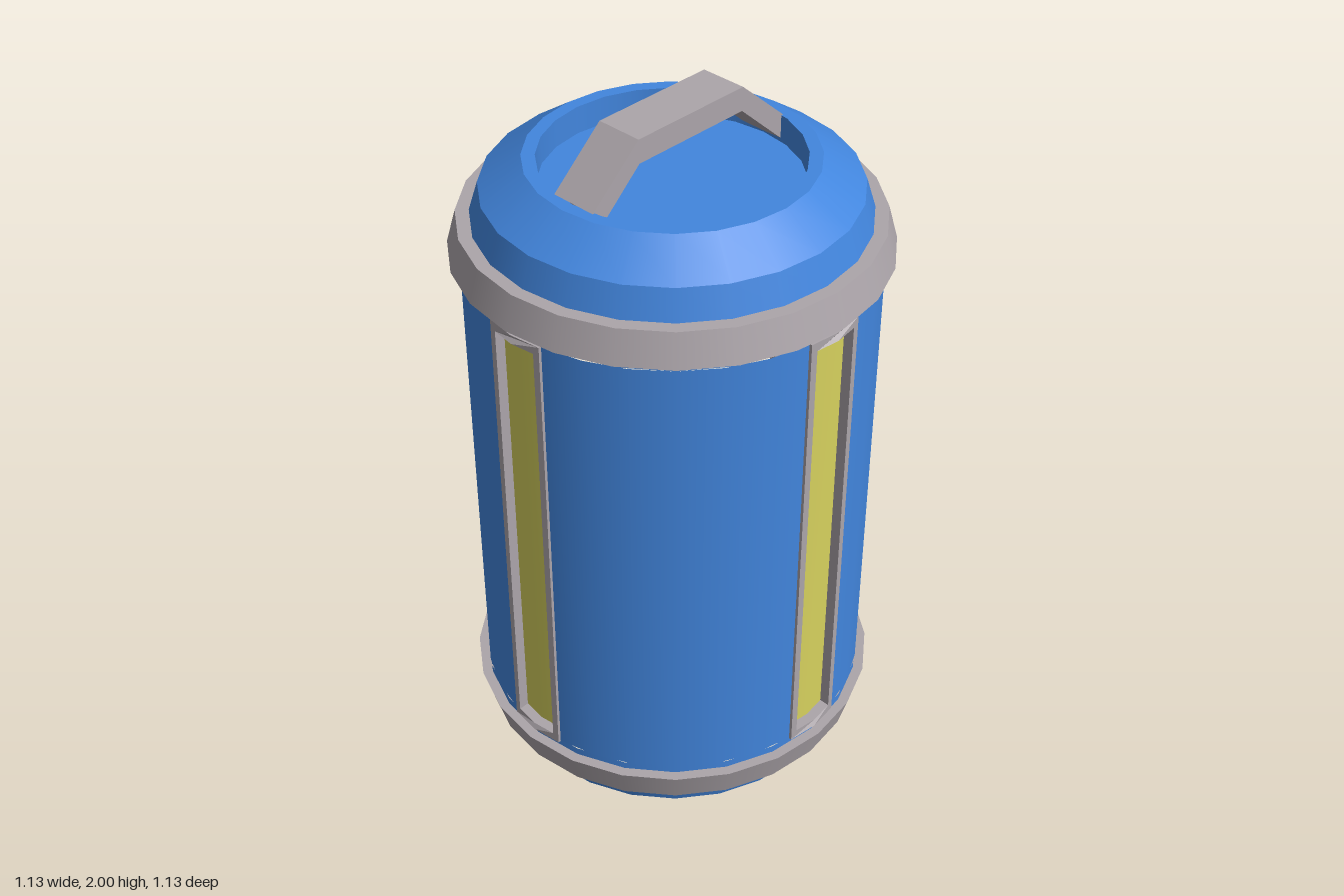
import * as THREE from 'three';
import { mergeGeometries } from 'three/addons/utils/BufferGeometryUtils.js';

const SIDES = 24;
const mat = (name, color) => {
  const m = new THREE.MeshStandardMaterial({ color });
  m.name = name;
  return m;
};

// Turned surface, smooth around the axis and sharp at each profile corner.
// Profile runs bottom to top on the outside.
function turned(profile, sides = SIDES, start = 0, length = Math.PI * 2) {
  const bands = [];
  for (let i = 0; i + 1 < profile.length; i++) {
    const pair = [profile[i], profile[i + 1]].map(([r, y]) => new THREE.Vector2(r, y));
    bands.push(new THREE.LatheGeometry(pair, sides, start, length));
  }
  return mergeGeometries(bands);
}

// Rectangle outline with a mid point on its top and bottom, so it can fold at x = 0
function outline(target, w, y0, y1) {
  target.moveTo(-w, y0);
  for (const [x, y] of [[0, y0], [w, y0], [w, y1], [0, y1], [-w, y1]]) target.lineTo(x, y);
  target.closePath();
  return target;
}

// Fold a panel back from its centre line to follow the barrel
function fold(geometry) {
  const p = geometry.attributes.position;
  for (let i = 0; i < p.count; i++) p.setZ(i, p.getZ(i) - Math.abs(p.getX(i)) * 0.13);
  geometry.computeVertexNormals();
  return geometry;
}

export function createModel() {
  const model = new THREE.Group();
  model.name = 'canister';
  const blue = mat('blue paint', 0x4286de);
  const grey = mat('grey metal', 0xaca5aa);
  const yellow = mat('yellow light', 0xd6d15e);

  const add = (name, geometry, material, parent = model) => {
    const mesh = new THREE.Mesh(geometry, material);
    mesh.name = name;
    parent.add(mesh);
    return mesh;
  };

  // Ends with chamfered shoulders and round recesses
  add('bottomCap', turned([[0, 0.08], [0.335, 0.08], [0.362, 0], [0.37, 0], [0.48, 0.08], [0.505, 0.16], [0.505, 0.2]]), blue);
  add('topCap', turned([[0.505, 1.66], [0.505, 1.71], [0.48, 1.79], [0.37, 1.865], [0.335, 1.865], [0.335, 1.79], [0, 1.79]]), blue);

  // Flared bands
  add('bottomBand', turned([[0.5, 0.16], [0.54, 0.16], [0.565, 0.25], [0.525, 0.25]]), grey);
  add('topBand', turned([[0.525, 1.62], [0.565, 1.62], [0.54, 1.71], [0.5, 1.71]]), grey);

  // Barrel wall: full hoops at the ends, four wall sections between the windows
  const R = 0.537, y0 = 0.272, y1 = 1.598;
  add('lowerHoop', turned([[R, 0.2], [R, y0]]), blue);
  add('upperHoop', turned([[R, y1], [R, 1.67]]), blue);
  const gap = Math.asin(0.083 / R);
  for (let i = 0; i < 4; i++) {
    add('wallSection', turned([[R, y0], [R, y1]], 6, gap + i * Math.PI / 2, Math.PI / 2 - 2 * gap), blue);
  }

  // Four recessed light windows with frames
  const frameShape = outline(new THREE.Shape(), 0.085, 0.27, 1.6);
  frameShape.holes.push(outline(new THREE.Path(), 0.067, 0.295, 1.575));
  const frame = new THREE.ExtrudeGeometry(frameShape, { depth: 0.045, bevelEnabled: false });
  frame.translate(0, 0, 0.504);
  fold(frame);
  const lamp = fold(new THREE.PlaneGeometry(0.15, 1.3, 2, 1).translate(0, 0.935, 0.52));
  for (let i = 0; i < 4; i++) {
    const panel = new THREE.Group();
    panel.name = 'lightWindow';
    panel.rotation.y = i * Math.PI / 2;
    add('windowFrame', frame, grey, panel);
    add('windowLight', lamp, yellow, panel);
    model.add(panel);
  }

  // Carrying handle set into the top recess
  const arch = new THREE.Shape([
    [-0.333, 1.795], [-0.333, 1.865], [-0.18, 2], [0.18, 2], [0.333, 1.865],
    [0.333, 1.795], [0.178, 1.935], [-0.178, 1.935],
  ].map(([x, y]) => new THREE.Vector2(x, y)));
  const handle = new THREE.ExtrudeGeometry(arch, { depth: 0.13, bevelEnabled: false });
  handle.translate(0, 0, -0.065);
  add('handle', handle, grey);

  return model;
}
